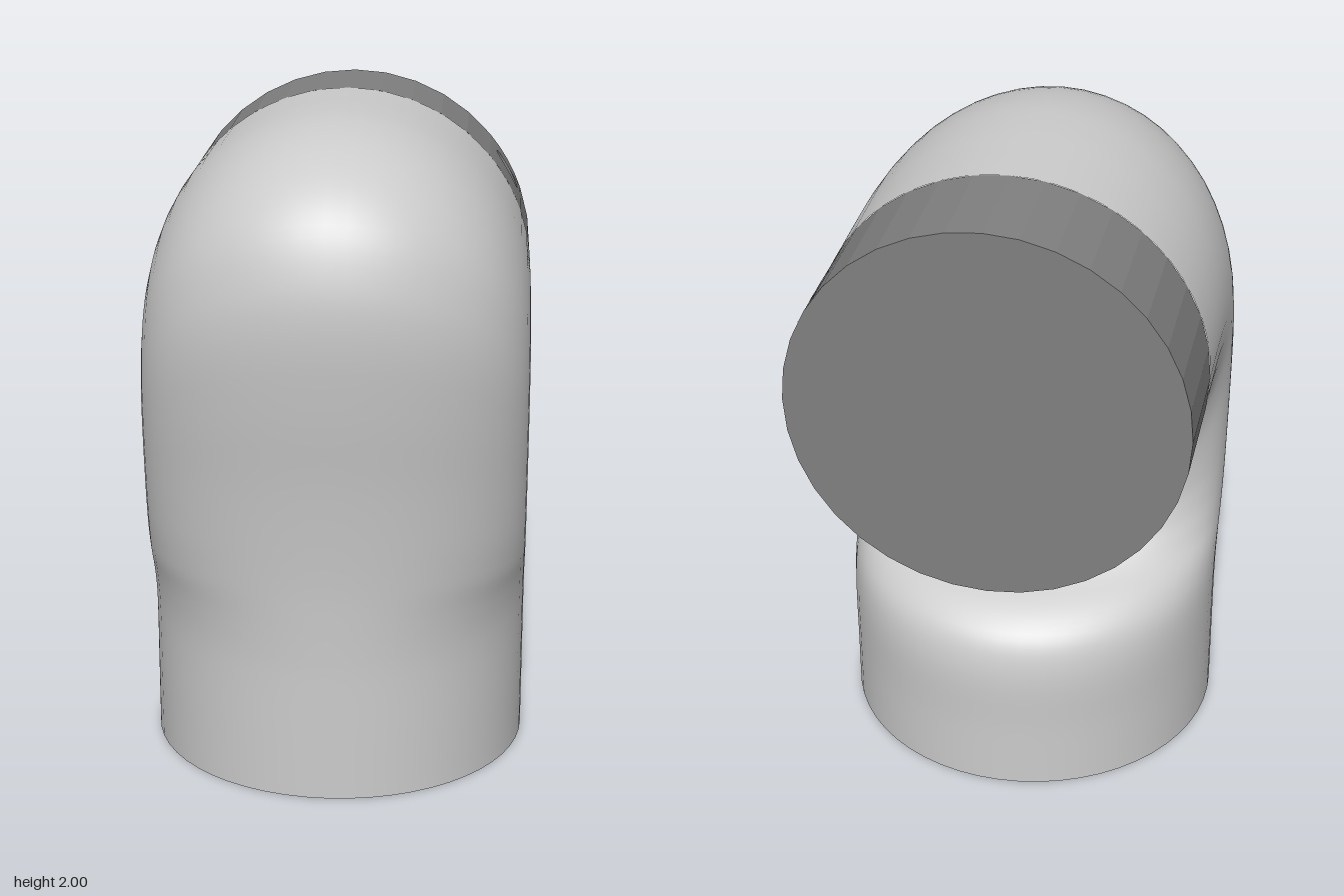
import * as THREE from 'three';

const R = 0.585;          // pipe radius
const AXIS_Y = 1.41;      // height of the horizontal outlet's axis
const Z0 = -0.345, Z1 = -0.7; // collar front and back

// Matching points (z, y) on the outer and inner outline of the elbow
const STATIONS = [
  [0.6, 0, -0.578, 0], [0.6, 0.2, -0.578, 0.2], [0.6, 0.4, -0.578, 0.42],
  [0.602, 0.48, -0.546, 0.52], [0.605, 0.56, -0.472, 0.583],
  [0.61, 0.66, -0.34, 0.642], [0.622, 0.8, -0.26, 0.69],
  [0.645, 1.0, -0.222, 0.73], [0.682, 1.25, -0.217, 0.752],
  [0.703, 1.475, -0.221, 0.772], [0.69, 1.62, -0.229, 0.788],
  [0.637, 1.767, -0.24, 0.802], [0.536, 1.873, -0.254, 0.811],
  [0.377, 1.95, -0.27, 0.818], [0.19, 1.99, -0.29, 0.823],
  [0, 2.0, -0.31, 0.826], [-0.18, 1.998, -0.328, 0.827], [Z0, 1.995, Z0, 0.827],
];

// Elbow skin: ellipses fanned between the outer and inner outlines
function elbowGeometry(rows = 72, sides = 56) {
  const outer = new THREE.CatmullRomCurve3(STATIONS.map(s => new THREE.Vector3(0, s[1], s[0])));
  const inner = new THREE.CatmullRomCurve3(STATIONS.map(s => new THREE.Vector3(0, s[3], s[2])));
  const pos = [], idx = [];
  for (let i = 0; i <= rows; i++) {
    const o = outer.getPoint(i / rows), n = inner.getPoint(i / rows);
    const c = o.clone().add(n).multiplyScalar(0.5), d = o.sub(n).multiplyScalar(0.5);
    for (let j = 0; j < sides; j++) {
      const a = (j / sides) * Math.PI * 2;
      pos.push(R * Math.sin(a), c.y + d.y * Math.cos(a), c.z + d.z * Math.cos(a));
      if (i < rows) {
        const p = i * sides + j, q = i * sides + (j + 1) % sides;
        idx.push(p, q, p + sides, q, q + sides, p + sides);
      }
    }
  }
  const g = new THREE.BufferGeometry();
  g.setAttribute('position', new THREE.Float32BufferAttribute(pos, 3));
  g.setIndex(idx);
  g.computeVertexNormals();
  return g;
}

export function createModel() {
  const group = new THREE.Group();
  const grey = new THREE.MeshStandardMaterial({ color: 0xcccccc });
  const dark = new THREE.MeshStandardMaterial({ color: 0x808080 });
  const darkFlat = new THREE.MeshStandardMaterial({ color: 0x808080, flatShading: true });
  const darkInside = new THREE.MeshStandardMaterial({ color: 0x808080, side: THREE.DoubleSide });
  const add = (name, geometry, material, parent = group) => {
    const m = new THREE.Mesh(geometry, material);
    m.name = name;
    parent.add(m);
    return m;
  };

  // Elbow pipe and its flat base
  add('elbowPipe', elbowGeometry(), grey);
  const base = add('baseCap', new THREE.CircleGeometry(1, 56).rotateX(Math.PI / 2), grey);
  base.scale.set(R, 1, 0.589);
  base.position.z = 0.011;

  // Collar wall, leaving a narrow gap for the drilled strip
  const collar = new THREE.Group();
  collar.name = 'collar';
  group.add(collar);
  const rad = THREE.MathUtils.degToRad, len = Z0 - Z1;
  const wall = new THREE.CylinderGeometry(R, R, len, 34, 1, true, rad(130), rad(340)).rotateX(Math.PI / 2);
  add('collarWall', wall, darkFlat, collar).position.set(0, AXIS_Y, (Z0 + Z1) / 2);

  // Both collar ends
  add('collarBack', new THREE.CircleGeometry(R, 36).rotateY(Math.PI), dark, collar).position.set(0, AXIS_Y, Z1);
  add('collarFront', new THREE.CircleGeometry(R, 36), dark, collar).position.set(0, AXIS_Y, Z0);

  // Strip with a round hole, laid out flat and lifted onto the collar's curve
  const hx = 0.505, hz = -0.567, hr = 0.035, floorY = 1.56;
  const lift = x => AXIS_Y + Math.sqrt(R * R - x * x);
  const edge = [20, 25, 30, 35, 40].map(a => R * Math.cos(rad(a)));
  const strip = new THREE.Shape([
    ...edge.map(x => new THREE.Vector2(x, -Z1)),
    ...edge.slice().reverse().map(x => new THREE.Vector2(x, -Z0)),
  ]);
  strip.holes.push(new THREE.Path().absarc(hx, -hz, hr, 0, Math.PI * 2, true));
  const stripGeo = new THREE.ShapeGeometry(strip, 16).rotateX(-Math.PI / 2);
  const sp = stripGeo.attributes.position, sn = stripGeo.attributes.normal;
  for (let i = 0; i < sp.count; i++) {
    const x = sp.getX(i);
    sp.setY(i, lift(x));
    sn.setXYZ(i, x / R, (lift(x) - AXIS_Y) / R, 0);
  }
  add('drilledStrip', stripGeo, dark, collar);

  // Hole wall trimmed to the curve, and its floor
  const bore = new THREE.CylinderGeometry(hr, hr, 1, 32, 1, true).translate(hx, 0, hz);
  const bp = bore.attributes.position;
  for (let i = 0; i < bp.count; i++) bp.setY(i, bp.getY(i) > 0 ? lift(bp.getX(i)) : floorY);
  add('holeWall', bore, darkInside, collar);
  add('holeFloor', new THREE.CircleGeometry(hr, 32).rotateX(-Math.PI / 2), dark, collar).position.set(hx, floorY, hz);

  return group;
}
